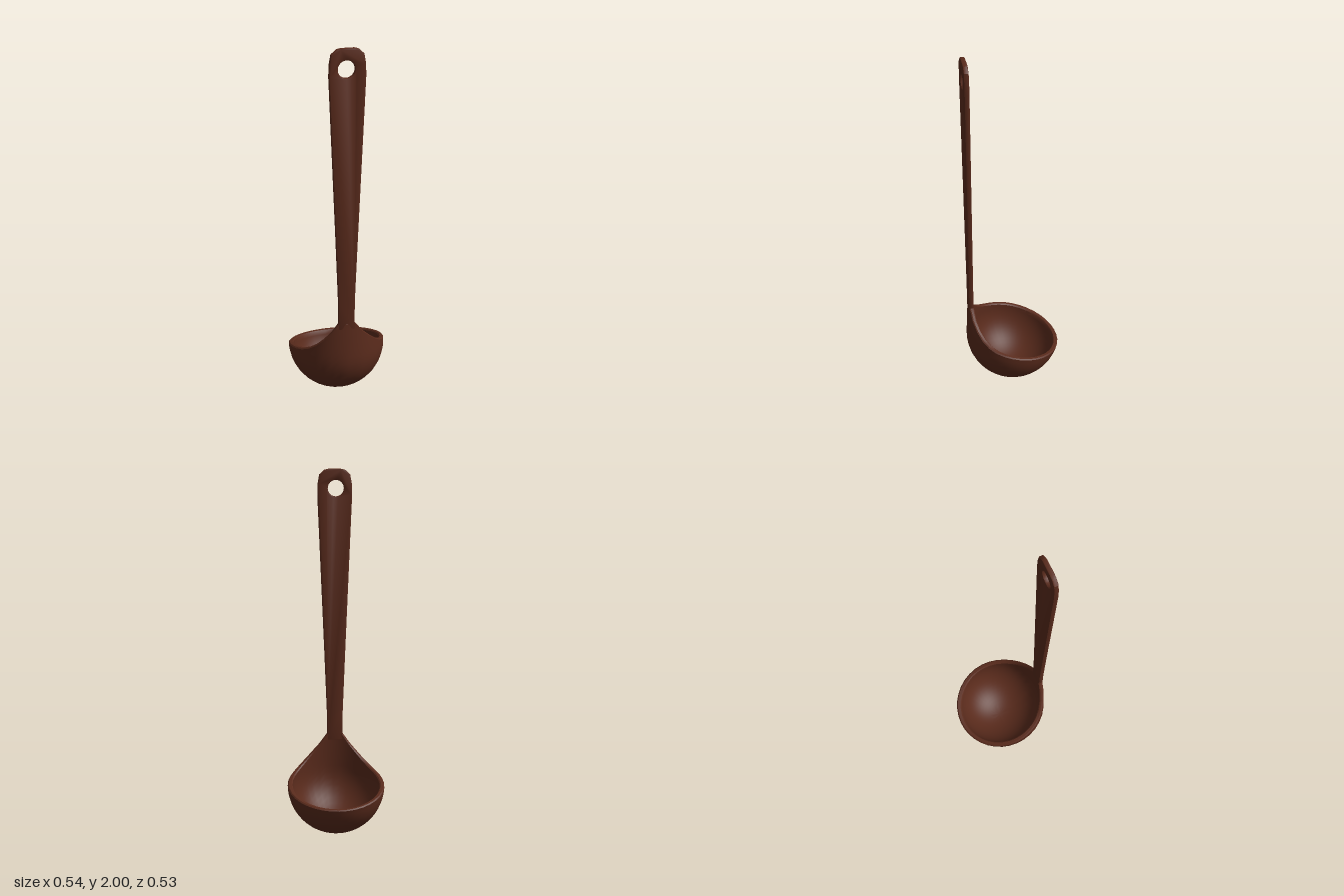
import * as THREE from 'three';
import { toCreasedNormals } from 'three/addons/utils/BufferGeometryUtils.js';

const CY = 0.27; // height of the bowl's widest ring
const COLS = 36, ROWS = 16;

// Rim height by angle from the back: a tall neck that falls to a tilted rim
const NECK = [[0, 0.5], [10, 0.5], [22, 0.43], [32, 0.39], [43, 0.35], [52, 0.328], [62, 0.31], [75, 0.2945]];
function rimHeight(phi) {
  const deg = THREE.MathUtils.radToDeg(Math.abs(phi));
  for (let k = 1; k < NECK.length; k++) {
    const [a, ya] = NECK[k - 1], [b, yb] = NECK[k];
    if (deg <= b) return THREE.MathUtils.mapLinear(deg, a, b, ya, yb);
  }
  return 0.277 + 0.0675 * Math.cos(phi);
}

// Points [radius, y] up a hemisphere of radius R, then up a slightly leaning wall
function wall(R, top, lean) {
  const length = top < CY ? R * Math.acos((CY - top) / R) : R * Math.PI / 2 + top - CY;
  return Array.from({ length: ROWS + 1 }, (_, j) => {
    const s = length * j / ROWS, a = s / R;
    if (a < Math.PI / 2) return [R * Math.sin(a), CY - R * Math.cos(a)];
    const up = s - R * Math.PI / 2;
    return [R - lean * up, CY + up];
  });
}

function bowlGeometry() {
  const pos = [], index = [];
  let n = 0;
  for (let i = 0; i < COLS; i++) {
    let phi = i / COLS * Math.PI * 2;
    if (phi > Math.PI) phi -= Math.PI * 2;
    const top = rimHeight(phi), e = 0.006;
    const outer = wall(0.27, top - e, 0.055), inner = wall(0.243, top - e, 0.04).reverse();
    // outside, bevelled lip, inside
    const profile = [...outer, [outer[ROWS][0] - e, top], [inner[0][0] + e, top], ...inner];
    n = profile.length;
    for (const [r, y] of profile) {
      const shift = -0.009 * THREE.MathUtils.smoothstep(y, 0.3, 0.5);
      pos.push(r * Math.sin(phi) + shift, y, r * Math.cos(phi));
    }
  }
  for (let i = 0; i < COLS; i++) {
    const a = i * n, b = ((i + 1) % COLS) * n;
    for (let j = 0; j < n - 1; j++) {
      if (j > 0) index.push(a + j, b + j, b + j + 1);
      if (j < n - 2 || j === 0) index.push(a + j, b + j + 1, a + j + 1);
    }
  }
  const g = new THREE.BufferGeometry();
  g.setAttribute('position', new THREE.Float32BufferAttribute(pos, 3));
  g.setIndex(index);
  return toCreasedNormals(g, 0.6);
}

// Flat tapered strip with clipped top corners and a hanging hole
function handleGeometry() {
  const half = [[0.045, 0.46], [0.045, 0.62], [0.06, 1.0], [0.096, 1.86], [0.094, 1.92], [0.085, 1.97], [0.057, 1.995], [0.035, 2.0]];
  const cx = -0.009;
  const right = half.map(([x, y]) => new THREE.Vector2(cx + x, y));
  const left = half.map(([x, y]) => new THREE.Vector2(cx - x, y)).reverse();
  const shape = new THREE.Shape([...right, ...left]);
  shape.holes.push(new THREE.Path().absarc(-0.015, 1.895, 0.045, 0, Math.PI * 2, true));
  const g = new THREE.ExtrudeGeometry(shape, {
    depth: 0.014, curveSegments: 12, bevelThickness: 0.006, bevelSize: 0.006, bevelOffset: -0.006, bevelSegments: 2,
  });
  return toCreasedNormals(g.translate(0, 0, 0.237), 0.6);
}

export function createModel() {
  const group = new THREE.Group();
  group.name = 'ladle';
  const material = new THREE.MeshStandardMaterial({ color: 0x5a2b1c });
  const add = (name, geometry) => {
    const mesh = new THREE.Mesh(geometry, material);
    mesh.name = name;
    group.add(mesh);
  };
  add('bowl', bowlGeometry());
  add('handle', handleGeometry());
  return group;
}
